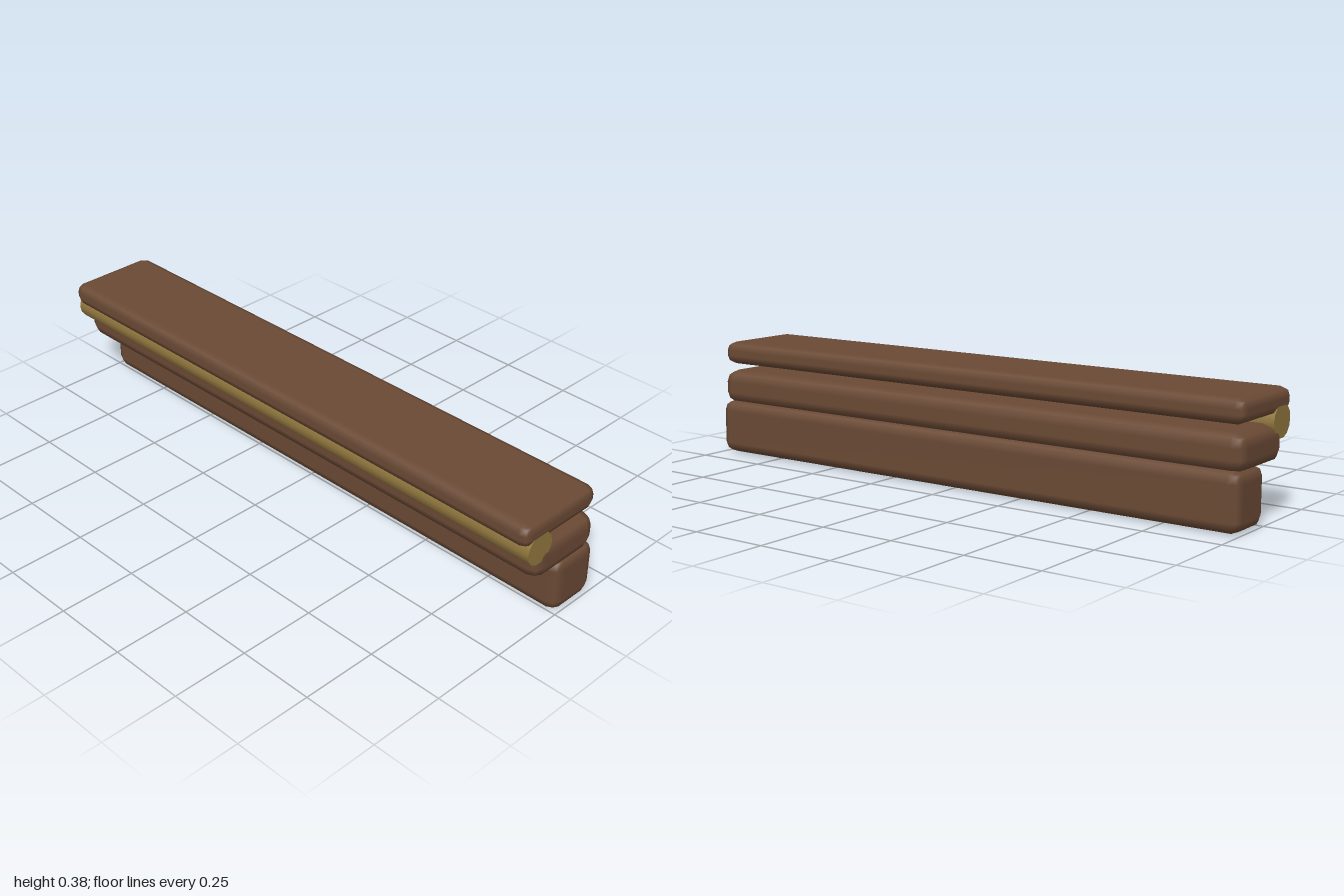
import * as THREE from 'three';
import { RoundedBoxGeometry } from 'three/addons/geometries/RoundedBoxGeometry.js';

const wood = new THREE.MeshStandardMaterial({ color: 0x6b4a35 });
const brass = new THREE.MeshStandardMaterial({ color: 0x93783f });

// Full-length plank with coarse rounded edges, given by its y and z limits
function plank(name, halfLength, [y0, y1], [z0, z1], radius) {
  const grow = 0.19 * radius; // the one-segment rounding falls short of the nominal size
  const geometry = new RoundedBoxGeometry(
    2 * halfLength + grow, y1 - y0 + grow, z1 - z0 + grow, 1, radius);
  const mesh = new THREE.Mesh(geometry, wood);
  mesh.name = name;
  mesh.position.set(0, (y0 + y1) / 2, (z0 + z1) / 2);
  return mesh;
}

export function createModel() {
  const group = new THREE.Group();
  group.name = 'steppedMoulding';

  // Three stacked planks, each stepping further forward
  group.add(
    plank('lowerBeam', 0.998, [0, 0.176], [-0.163, 0.006], 0.036),
    plank('middleBeam', 1, [0.171, 0.279], [-0.149, 0.11], 0.04),
    plank('topShelf', 0.9975, [0.308, 0.378], [-0.143, 0.165], 0.03),
  );

  // Faceted rod tucked under the shelf along the front
  const rod = new THREE.Mesh(
    new THREE.CylinderGeometry(0.052, 0.052, 1.997, 14).rotateZ(Math.PI / 2), brass);
  rod.name = 'trimRod';
  rod.position.set(0, 0.287, 0.101);
  group.add(rod);

  return group;
}
